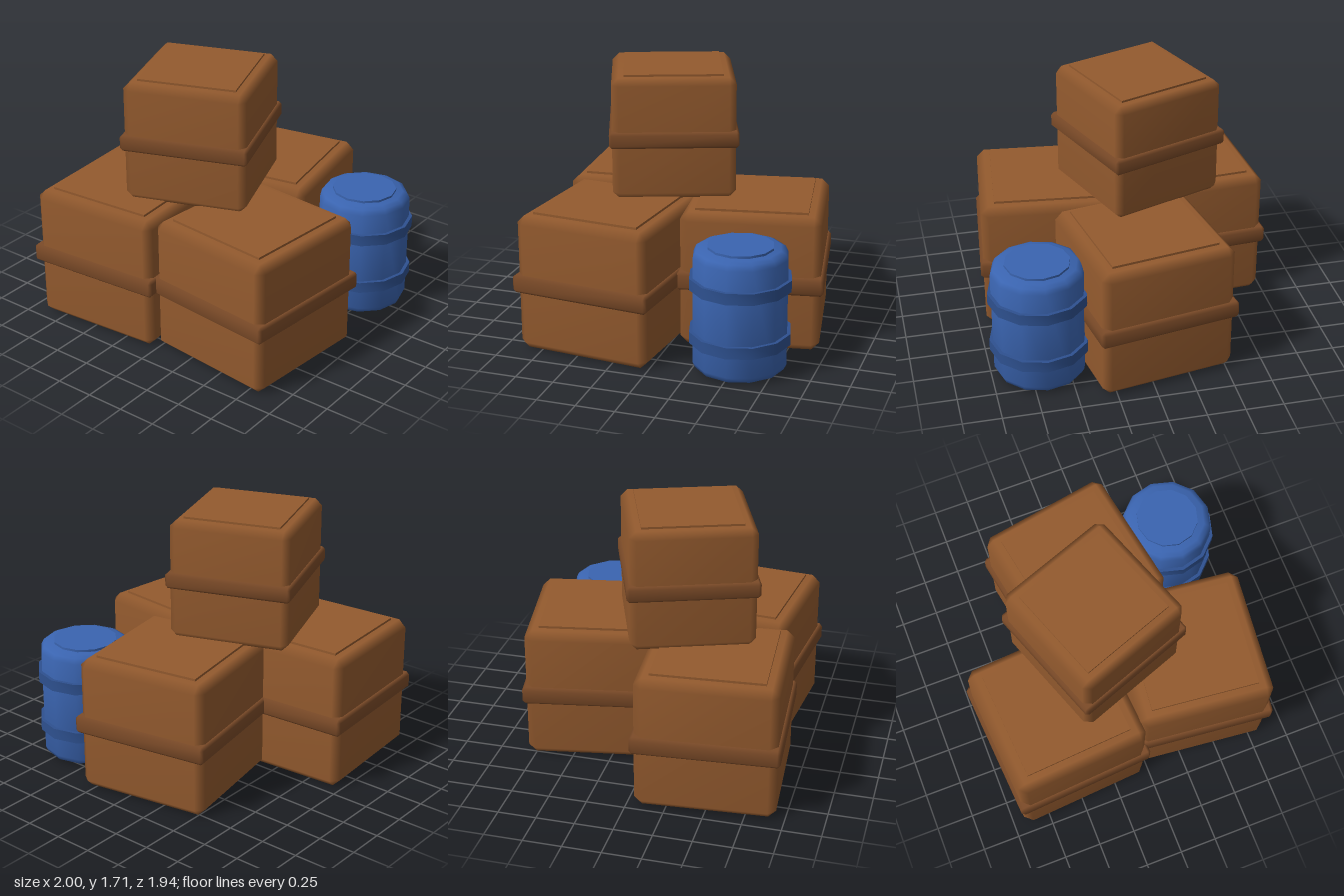
import * as THREE from 'three';
import { mergeVertices, toCreasedNormals } from 'three/addons/utils/BufferGeometryUtils.js';
import { ConvexGeometry } from 'three/addons/geometries/ConvexGeometry.js';

const wood = new THREE.MeshStandardMaterial({ color: 0x935a2e });
const woodDark = new THREE.MeshStandardMaterial({ color: 0x7c4b28 });
const blue = new THREE.MeshStandardMaterial({ color: 0x3a64b0 });
const blueDark = new THREE.MeshStandardMaterial({ color: 0x2e5190 });

function addMesh(parent, name, geometry, material, y = 0) {
  const mesh = new THREE.Mesh(geometry, material);
  mesh.name = name;
  mesh.position.y = y;
  parent.add(mesh);
  return mesh;
}

// Box with every edge chamfered by c, softly shaded across the chamfers
function bevelBox(w, h, d, c) {
  const points = [];
  for (const sx of [-1, 1]) for (const sy of [-1, 1]) for (const sz of [-1, 1]) {
    const x = w / 2, y = h / 2, z = d / 2;
    points.push(
      new THREE.Vector3(sx * x, sy * (y - c), sz * (z - c)),
      new THREE.Vector3(sx * (x - c), sy * y, sz * (z - c)),
      new THREE.Vector3(sx * (x - c), sy * (y - c), sz * z));
  }
  const geometry = new ConvexGeometry(points);
  geometry.deleteAttribute('normal');
  const merged = mergeVertices(geometry, 1e-4);
  merged.computeVertexNormals();
  return merged;
}

// Crate: chamfered body, strap around the middle, thin lid panel
function makeCrate(name, x, y, z, degrees, scale = 1) {
  const crate = new THREE.Group();
  crate.name = name;
  addMesh(crate, 'crateBody', bevelBox(0.9, 0.9, 0.9, 0.05), wood, 0.45);
  addMesh(crate, 'crateStrap', bevelBox(0.942, 0.12, 0.942, 0.02), woodDark, 0.45);
  addMesh(crate, 'crateLid', new THREE.BoxGeometry(0.72, 0.03, 0.72), wood, 0.9);
  crate.position.set(x, y, z);
  crate.rotation.y = THREE.MathUtils.degToRad(degrees);
  crate.scale.setScalar(scale);
  return crate;
}

// Twelve-sided turned shape from [radius, height] pairs
function turned(profile) {
  const points = profile.map(([r, y]) => new THREE.Vector2(r, y));
  return toCreasedNormals(new THREE.LatheGeometry(points, 12), THREE.MathUtils.degToRad(50));
}

// Barrel: chamfered body, two hoops, raised lid
function makeBarrel(x, z) {
  const barrel = new THREE.Group();
  barrel.name = 'barrel';
  addMesh(barrel, 'barrelBody', turned([
    [0, 0.005], [0.255, 0.005], [0.285, 0.02], [0.302, 0.055],
    [0.302, 0.75], [0.285, 0.785], [0.255, 0.8], [0, 0.8],
  ]), blue);
  const hoop = turned([[0.29, -0.037], [0.325, -0.037], [0.325, 0.037], [0.29, 0.037]]);
  for (const y of [0.227, 0.58]) addMesh(barrel, 'barrelHoop', hoop, blueDark, y);
  addMesh(barrel, 'barrelLid', turned([[0.21, 0.79], [0.21, 0.815], [0, 0.815]]), blue);
  barrel.position.set(x, 0, z);
  return barrel;
}

export function createModel() {
  const model = new THREE.Group();
  model.name = 'crateStack';
  model.add(
    makeCrate('backCrate', -0.03, 0, -0.43, 10),
    makeCrate('frontRightCrate', -0.5, 0, 0.465, 4),
    makeCrate('frontLeftCrate', 0.455, 0, 0.412, -6),
    makeCrate('topCrate', -0.128, 0.905, 0.183, 20, 0.885),
    makeBarrel(0.675, -0.525));
  return model;
}
